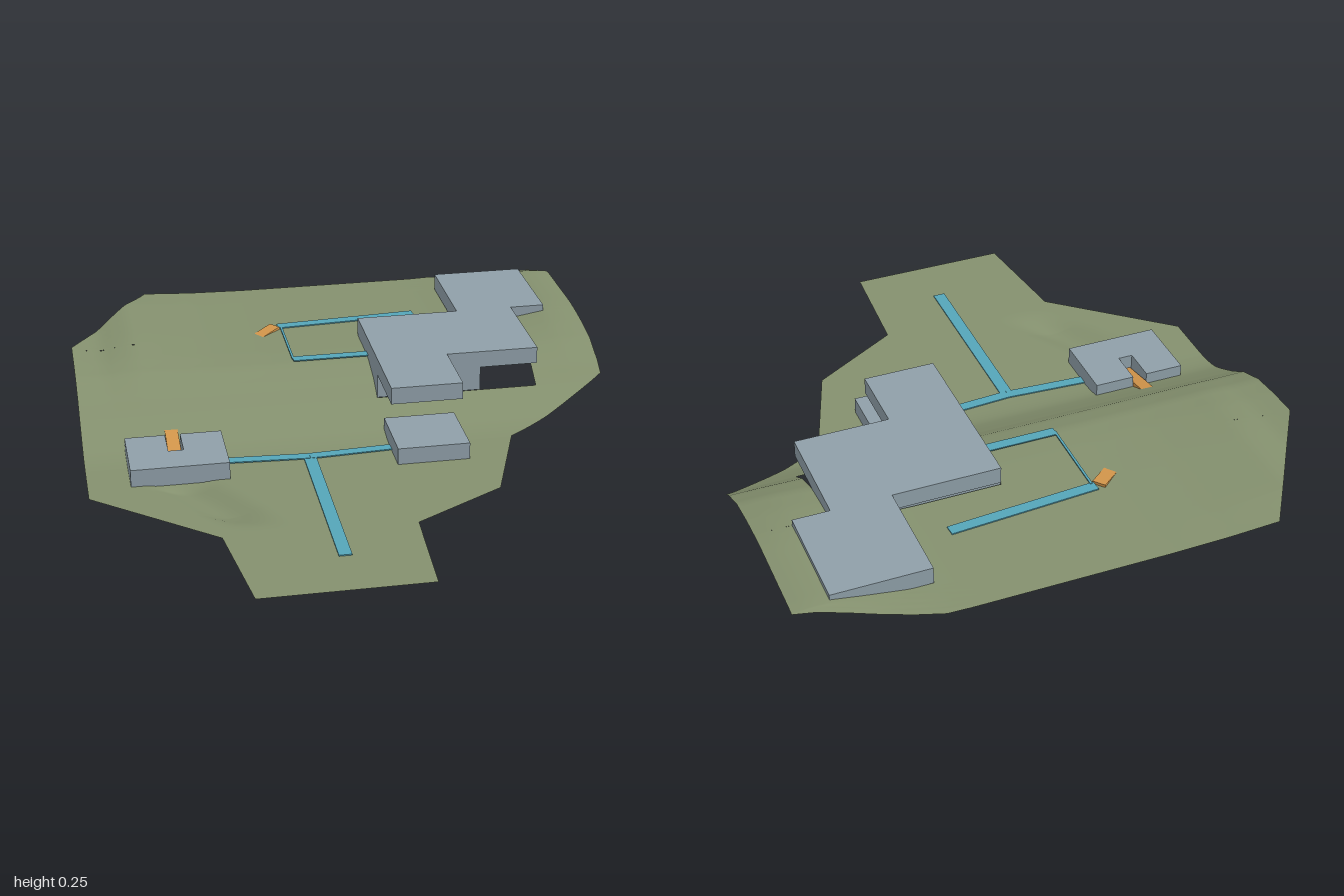
import * as THREE from 'three';

const mat = (name, color, side = THREE.FrontSide) => {
  const m = new THREE.MeshStandardMaterial({ color, side });
  m.name = name;
  return m;
};

// piecewise linear lookup in a list of [key, value] pairs with rising keys
function lerpTable(table, k) {
  if (k <= table[0][0]) return table[0][1];
  for (let i = 1; i < table.length; i++) {
    const [k0, v0] = table[i - 1], [k1, v1] = table[i];
    if (k <= k1) return v0 + (v1 - v0) * (k - k0) / (k1 - k0);
  }
  return table[table.length - 1][1];
}

// land boundary: x of each side by z
const WEST = [[-1, -0.62], [-0.52, -0.92], [0.29, -0.92], [0.62, -0.53], [1, -0.48]];
const EAST = [[-1, 0.48], [-0.88, 0.915], [-0.155, 0.915], [0.09, 0.53], [0.45, 0.4], [0.63, 0.09], [1, 0.07]];
// hillside section by z, and the ridges on the plateau by x
const SLOPE = [[-1, 0.191], [-0.4, 0.191], [-0.3, 0.186], [-0.2, 0.155], [-0.13, 0.112], [-0.05, 0.07], [0, 0.047], [0.05, 0.037], [0.1, 0.033]];
const RIDGE = [[-0.92, 0.025], [-0.87, 0.018], [-0.82, 0.012], [-0.77, 0.022], [-0.71, 0.03], [-0.6, 0.02],
  [-0.45, 0.007], [-0.25, 0], [0.4, 0], [0.55, 0.008], [0.7, 0.032], [0.8, 0.05], [0.86, 0.051], [0.915, 0.045]];

function landHeight(x, z) {
  const fade = THREE.MathUtils.smoothstep(-z, 0.1, 0.6) * (1 - 0.4 * THREE.MathUtils.smoothstep(-z, 0.85, 1));
  let y = lerpTable(SLOPE, z) + lerpTable(RIDGE, x) * fade;
  // shallow channel running down from the west building
  if (z > 0.23 && z < 0.58) {
    const centre = -0.62 + (z - 0.23) * 0.6;
    const across = Math.min(1, Math.abs(x - centre) / 0.13);
    const along = 1 - THREE.MathUtils.smoothstep(z, 0.42, 0.58);
    y -= 0.031 * (0.5 + 0.5 * Math.cos(Math.PI * across)) * along;
  }
  return y;
}

// grid of land between two side functions
function landPatch(z0, z1, left, right, cols) {
  const zs = new Set([z0, z1]);
  for (let z = z0; z < z1 - 0.01; z += 0.025) zs.add(z);
  for (const [z] of [...WEST, ...EAST]) if (z > z0 && z < z1) zs.add(z);
  const rows = [...zs].sort((a, b) => a - b);
  const pos = [], idx = [];
  rows.forEach((z, r) => {
    const a = left(z), b = right(z);
    for (let c = 0; c <= cols; c++) {
      const x = a + (b - a) * c / cols;
      pos.push(x, landHeight(x, z), z);
      if (r && c) {
        const d = r * (cols + 1) + c, u = d - cols - 1;
        idx.push(u - 1, d - 1, d, u - 1, d, u);
      }
    }
  });
  const g = new THREE.BufferGeometry();
  g.setAttribute('position', new THREE.Float32BufferAttribute(pos, 3));
  g.setIndex(idx);
  g.computeVertexNormals();
  return g;
}

export function createModel() {
  const model = new THREE.Group();
  const land = mat('land green', 0x84906e, THREE.DoubleSide);
  const wall = mat('building grey', 0x8f9fa8);
  const path = mat('path blue', 0x55a5b8);
  const ramp = mat('tunnel orange', 0xd2954a);

  const add = (name, geo, material) => {
    const m = new THREE.Mesh(geo, material);
    m.name = name;
    model.add(m);
    return m;
  };

  // block with a plan outline of [x, z] corners between two heights
  const block = (name, plan, y0, y1) => {
    const shape = new THREE.Shape(plan.map(([x, z]) => new THREE.Vector2(x, -z)));
    const g = new THREE.ExtrudeGeometry(shape, { depth: y1 - y0, bevelEnabled: false });
    g.rotateX(-Math.PI / 2).translate(0, y0, 0);
    return add(name, g, wall);
  };

  // thin straight strip between two plan points
  const strip = (name, [x0, z0], [x1, z1], width, y) => {
    const m = add(name, new THREE.BoxGeometry(Math.hypot(x1 - x0, z1 - z0), 0.004, width), path);
    m.position.set((x0 + x1) / 2, y, (z0 + z1) / 2);
    m.rotation.y = Math.atan2(z0 - z1, x1 - x0);
  };

  // solid with a side profile of [distance, y], running from one plan point toward another
  const tunnel = (name, [x0, z0], [x1, z1], width, profile) => {
    const shape = new THREE.Shape(profile.map(([s, y]) => new THREE.Vector2(s, y)));
    const g = new THREE.ExtrudeGeometry(shape, { depth: width, bevelEnabled: false });
    g.translate(0, 0, -width / 2);
    const m = add(name, g, ramp);
    m.position.set(x0, 0, z0);
    m.rotation.y = Math.atan2(z0 - z1, x1 - x0);
  };

  // land, left open where the middle building is dug in
  const west = z => lerpTable(WEST, z), east = z => lerpTable(EAST, z);
  add('plateau', landPatch(-1, -0.5, west, east, 60), land);
  add('hillsideWest', landPatch(-0.5, -0.13, west, () => 0.105, 40), land);
  add('hillsideEast', landPatch(-0.5, -0.13, () => 0.672, east, 12), land);
  add('lowland', landPatch(-0.13, 1, west, east, 60), land);

  // buildings
  block('upperFloor', [[0.105, 0.11], [0.35, 0.11], [0.35, -0.13], [0.672, -0.13], [0.672, -0.5],
    [0.795, -0.5], [0.795, -0.865], [0.47, -0.865], [0.47, -0.5], [0.105, -0.5]], 0.198, 0.257);
  block('middleFloor', [[0.105, -0.13], [0.47, -0.13], [0.47, -0.495], [0.105, -0.495]], 0.113, 0.198);
  block('lowerBuilding', [[0.105, 0.23], [0.35, 0.23], [0.35, -0.01], [0.105, -0.01]], 0.025, 0.091);
  block('westBuilding', [[-0.78, 0.23], [-0.455, 0.23], [-0.455, -0.01], [-0.594, -0.01], [-0.594, 0.11],
    [-0.645, 0.11], [-0.645, -0.01], [-0.78, -0.01]], 0.028, 0.093);

  // paths on the lowland
  strip('entryPath', [-0.175, 0.8], [-0.175, 0.12], 0.042, 0.037);
  strip('crossPathWest', [-0.455, 0.108], [-0.175, 0.125], 0.036, 0.038);
  strip('crossPathEast', [-0.175, 0.125], [0.105, 0.108], 0.036, 0.038);
  // paths on the plateau
  strip('plateauPath', [-0.17, -0.622], [0.34, -0.656], 0.038, 0.195);
  strip('narrowPath', [-0.159, -0.61], [-0.159, -0.318], 0.008, 0.197);
  strip('buildingPath', [-0.16, -0.318], [0.105, -0.318], 0.036, 0.197);
  // buried passage
  strip('buriedPath', [-0.61, -0.25], [0.33, -0.67], 0.038, 0.117);
  strip('buriedBranch', [0.33, -0.69], [0.33, -0.495], 0.038, 0.117);

  // sloping tunnels
  tunnel('lowerTunnel', [-0.618, 0.11], [-0.618, -0.245], 0.044,
    [[0, 0.027], [0.355, 0.027], [0.355, 0.118], [0.11, 0.066], [0, 0.042]]);
  tunnel('upperTunnel', [-0.62, -0.24], [-0.18, -0.62], 0.045,
    [[0, 0.115], [0.581, 0.115], [0.581, 0.201], [0.51, 0.193], [0, 0.14]]);

  return model;
}
